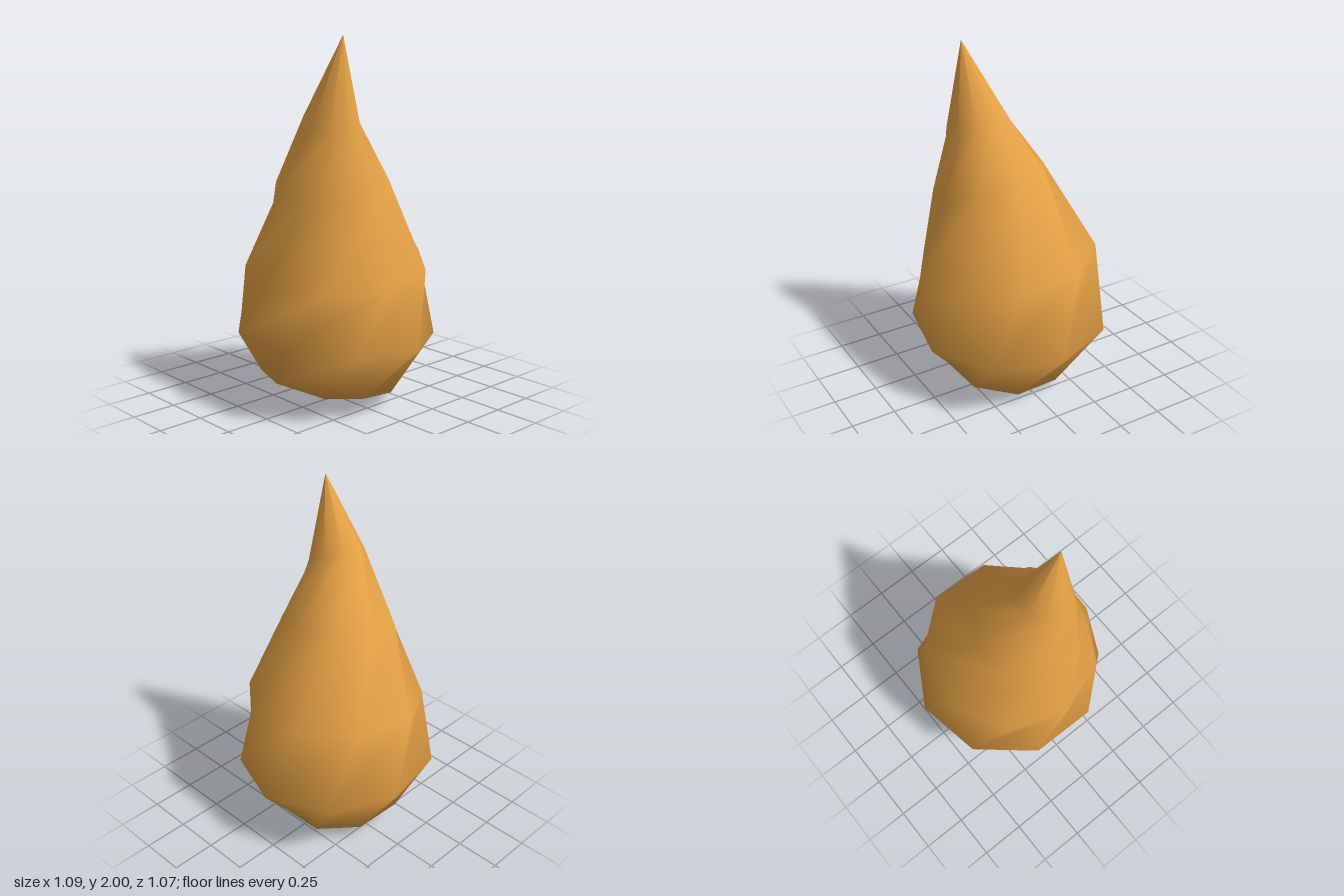
import * as THREE from 'three';
import { mergeVertices } from 'three/addons/utils/BufferGeometryUtils.js';
import { ConvexGeometry } from 'three/addons/geometries/ConvexGeometry.js';

const SIDES = 9;

// Stacked tilted rings, each turned half a step from the last and joined with a
// backward twist, which leaves shallow dents between them
function dropGeometry(rings, bottom, tip) {
  const pos = [], index = [];
  for (const { c, r, slope, half } of rings) {
    for (let i = 0; i < SIDES; i++) {
      const t = (i + half / 2) * (Math.PI * 2 / SIDES);
      const dx = Math.sin(t) * r, dz = -Math.cos(t) * r;
      pos.push(c[0] + dx, c[1] + dx * slope[0] + dz * slope[1], c[2] + dz);
    }
  }
  const id = (k, i) => k * SIDES + ((i + SIDES) % SIDES);
  const last = rings.length - 1;
  // One tip vertex per side, so the point keeps the slope of each face
  for (let i = 0; i < SIDES; i++) pos.push(...tip);
  pos.push(...bottom);
  const pole = (rings.length + 1) * SIDES;
  for (let i = 0; i < SIDES; i++) {
    for (let k = 0; k < last; k++) {
      const up = i + rings[k].half - 1; // upper corner above edge i, i + 1
      index.push(id(k, i + 1), id(k, i), id(k + 1, up));
      index.push(id(k + 1, up), id(k + 1, up + 1), id(k, i + 1));
    }
    index.push(id(0, i), id(0, i + 1), pole);
    index.push(id(last, i + 1), id(last, i), id(last + 1, i));
  }
  const g = new THREE.BufferGeometry();
  g.setAttribute('position', new THREE.Float32BufferAttribute(pos, 3));
  g.setIndex(index);
  g.computeVertexNormals();
  return g;
}

// Smooth-shaded stub: the rim corners continued upwards into the body
function stubGeometry(rim, height) {
  const points = rim.flatMap(([x, y, z]) => [
    new THREE.Vector3(x, y, z),
    new THREE.Vector3(x, y + height, z),
  ]);
  const hull = new ConvexGeometry(points);
  hull.deleteAttribute('normal');
  const g = mergeVertices(hull);
  g.computeVertexNormals();
  return g;
}

export function createModel() {
  const group = new THREE.Group();
  group.name = 'drop';
  const amber = new THREE.MeshStandardMaterial({ name: 'amber brown', color: 0xeaa547 });
  const pale = new THREE.MeshStandardMaterial({ name: 'pale green', color: 0xc4c080 });

  // Leaning drop body
  const rings = [
    { c: [-0.005, 0.115, 0.06], r: 0.363, slope: [-0.03, 0.17], half: 1 },
    { c: [0, 0.405, 0.012], r: 0.553, slope: [-0.046, 0.055], half: 0 },
    { c: [0.022, 0.78, 0.015], r: 0.495, slope: [-0.08, -0.1], half: 1 },
    { c: [0.068, 1.22, 0.1], r: 0.308, slope: [-0.12, -0.2], half: 0 },
    { c: [0.14, 1.56, 0.15], r: 0.15, slope: [-0.5, -0.12], half: 1 },
  ];
  const body = new THREE.Mesh(dropGeometry(rings, [0, 0, 0.08], [0.205, 2, 0.14]), amber);
  body.name = 'body';
  group.add(body);

  // Pale stub sunk into the underside, showing towards the back
  const rim = [
    [0.2, 0.046, -0.06], [0.07, 0.018, -0.15], [-0.105, 0.022, -0.147],
    [-0.2, 0.042, -0.07], [-0.16, 0.036, 0.01], [-0.01, 0.002, 0.07],
  ];
  const stub = new THREE.Mesh(stubGeometry(rim, 0.15), pale);
  stub.name = 'baseStub';
  group.add(stub);

  return group;
}
